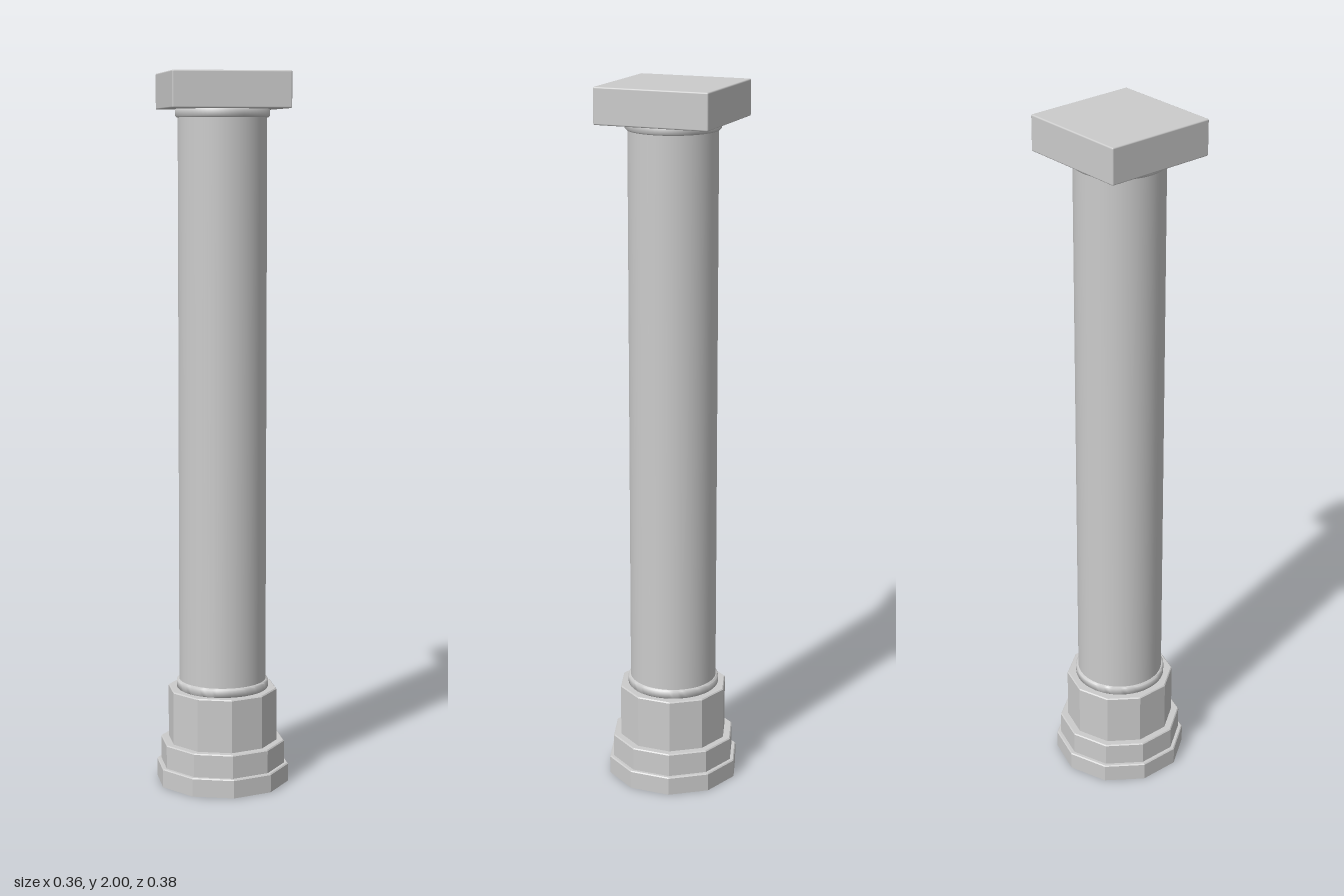
import * as THREE from 'three';
import { toCreasedNormals } from 'three/addons/utils/BufferGeometryUtils.js';
import { RoundedBoxGeometry } from 'three/addons/geometries/RoundedBoxGeometry.js';

const SHAFT_R = 0.123;

export function createModel() {
  const group = new THREE.Group();
  const smooth = new THREE.MeshStandardMaterial({ color: 0xcccccc });
  const faceted = new THREE.MeshStandardMaterial({ color: 0xcccccc, flatShading: true });

  function add(name, geometry, material, y = 0) {
    const mesh = new THREE.Mesh(geometry, material);
    mesh.name = name;
    mesh.position.y = y;
    group.add(mesh);
  }

  // Turned part from [radius, height] points, listed bottom to top
  function turned(points, sides) {
    return new THREE.LatheGeometry(points.map(([r, y]) => new THREE.Vector2(r, y)), sides);
  }

  // Ten-sided stepped base, each tier with a narrow bevel on its upper edge
  const tiers = [
    ['baseFoot', 0.19, 0, 0.053],
    ['baseStep', 0.178, 0.053, 0.12],
    ['basePedestal', 0.156, 0.12, 0.272],
  ];
  const bevel = 0.003;
  for (const [name, r, y0, y1] of tiers) {
    add(name, turned([[0, y0], [r, y0], [r, y1 - bevel], [r - bevel, y1], [0, y1]], 10), faceted);
  }

  // Round shaft
  const shaft = new THREE.CylinderGeometry(SHAFT_R, SHAFT_R, 1.64, 64, 1, true);
  add('shaft', shaft, smooth, 0.27 + 0.82);

  // Collars at both ends of the shaft, with softened edges
  function collar(y0, y1) {
    const r = 0.13, e = 0.004;
    const points = [[SHAFT_R - 0.005, y0], [r - e, y0], [r, y0 + e], [r, y1 - e], [r - e, y1], [SHAFT_R - 0.005, y1]];
    return toCreasedNormals(turned(points, 64), 0.9);
  }
  add('lowerCollar', collar(0.27, 0.297), smooth);
  add('upperCollar', collar(1.877, 1.903), smooth);

  // Square slab on top
  add('capSlab', new RoundedBoxGeometry(0.325, 0.1, 0.325, 2, 0.004), smooth, 1.95);

  return group;
}
